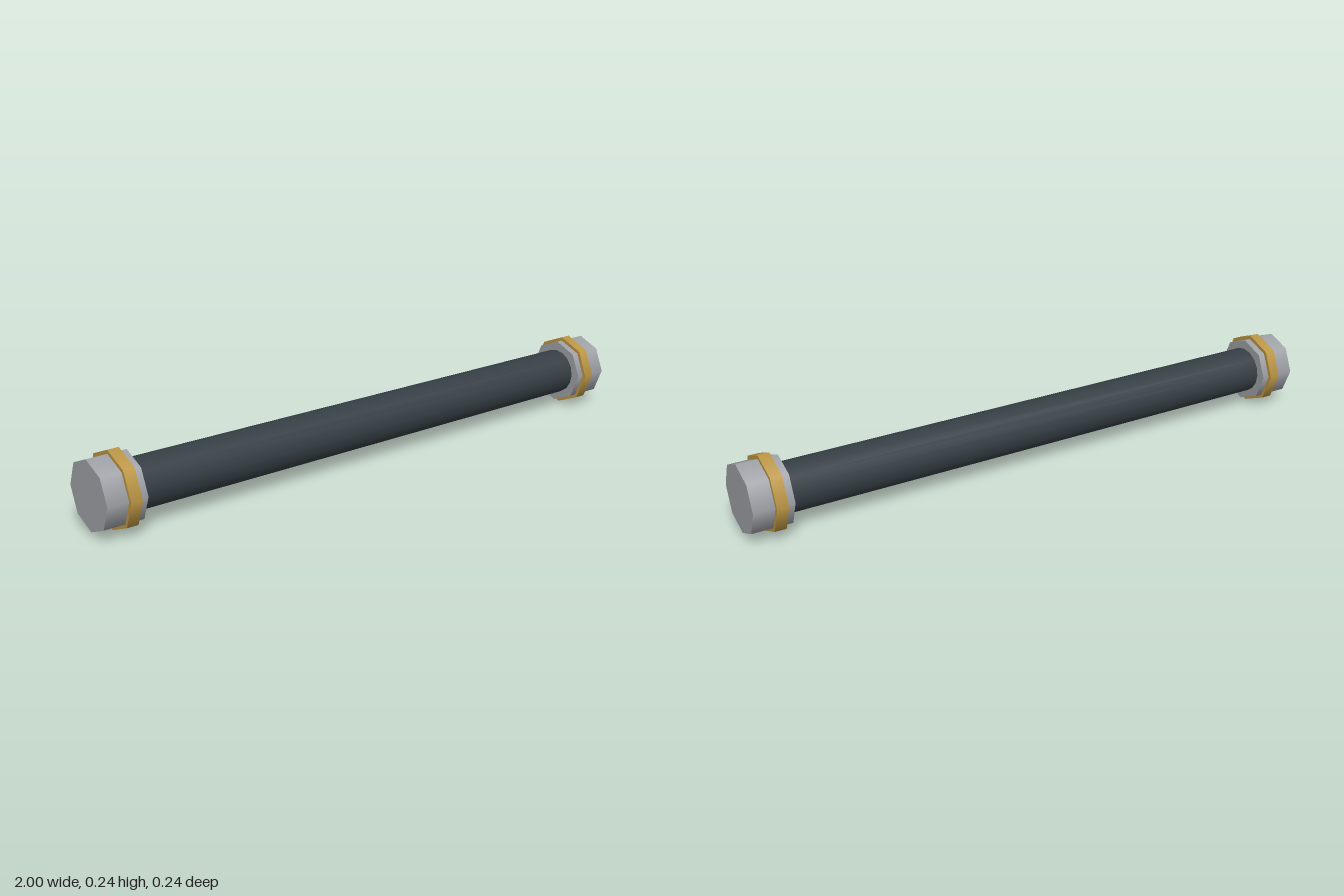
import * as THREE from 'three';

export function createModel() {
  const model = new THREE.Group();
  model.name = 'rod';

  const makeMaterial = (name, color) => {
    const material = new THREE.MeshStandardMaterial({ color });
    material.name = name;
    return material;
  };
  const darkMetal = makeMaterial('dark metal', 0x363f45);
  const steel = makeMaterial('steel', 0xa0a3a8);
  const brass = makeMaterial('brass', 0xbd9745);

  const centreY = 0.121;

  // Closed cylinder lying along x, centred at the given x
  function addBar(name, radius, length, sides, x, material) {
    const geometry = new THREE.CylinderGeometry(radius, radius, length, sides);
    geometry.rotateZ(-Math.PI / 2);
    const mesh = new THREE.Mesh(geometry, material);
    mesh.name = name;
    mesh.position.set(x, centreY, 0);
    model.add(mesh);
  }

  // Long round shaft
  addBar('shaft', 0.077, 1.8, 16, 0, darkMetal);

  // Octagonal end caps, each with a brass band
  for (const [side, sign] of [['left', 1], ['right', -1]]) {
    addBar(side + 'EndCap', 0.109, 0.126, 8, sign * 0.937, steel);
    addBar(side + 'Band', 0.121, 0.036, 8, sign * 0.916, brass);
  }

  return model;
}
